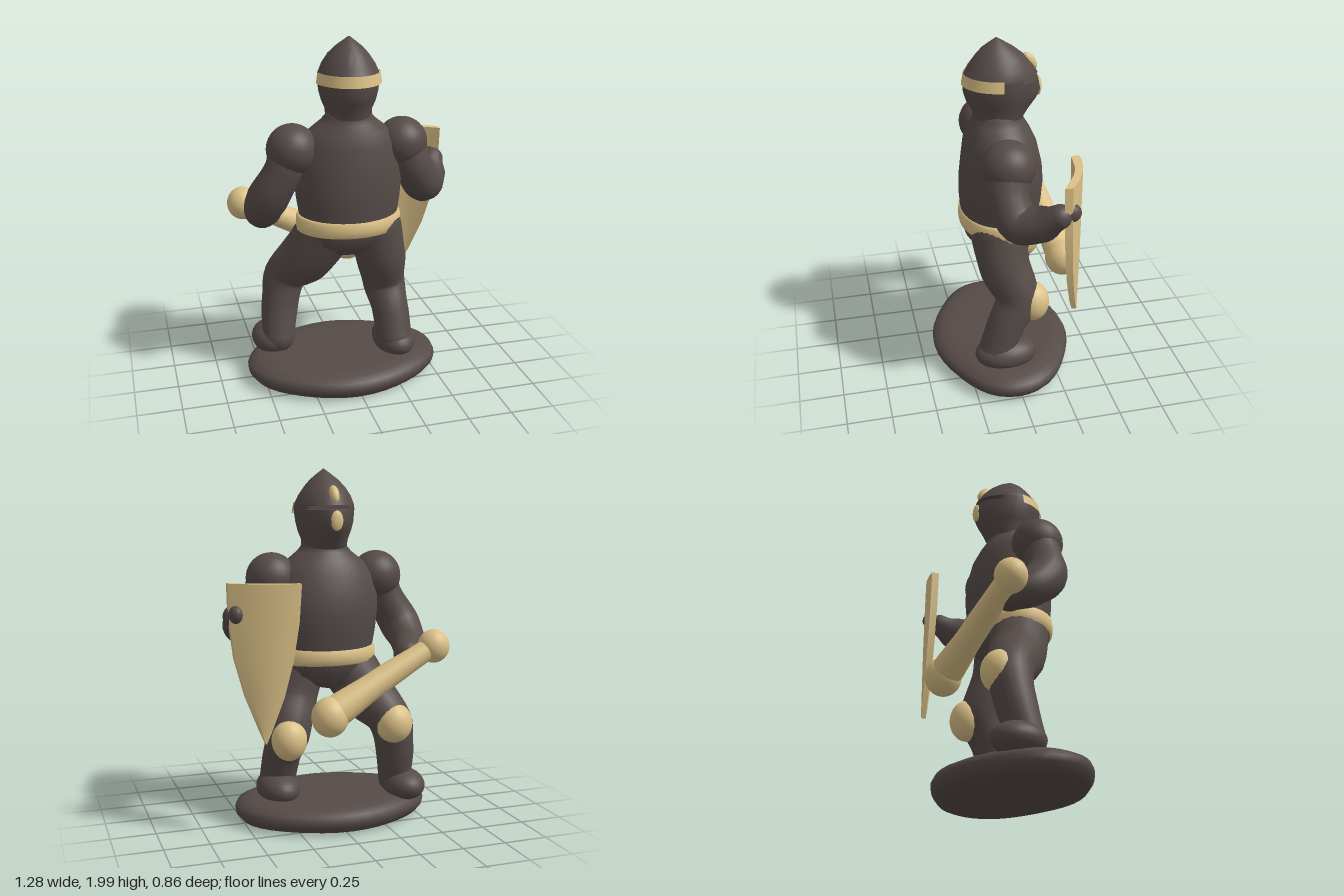
import * as THREE from 'three';
import { toCreasedNormals } from 'three/addons/utils/BufferGeometryUtils.js';

const dark = new THREE.MeshStandardMaterial({ color: 0x554b48 });
dark.name = 'darkBody';
const gold = new THREE.MeshStandardMaterial({ color: 0xdcc187, side: THREE.DoubleSide });
gold.name = 'paleGold';

// Skin stacked rings (bottom to top, each running +x to +z) and cap both ends
function loft(rings) {
  const n = rings[0].length, pos = [], idx = [];
  rings.forEach(r => r.forEach(p => pos.push(...p)));
  for (let i = 0; i < rings.length - 1; i++) {
    for (let j = 0; j < n; j++) {
      const a = i * n + j, b = i * n + (j + 1) % n, c = a + n, d = b + n;
      idx.push(a, c, b, b, c, d);
    }
  }
  [0, rings.length - 1].forEach((row, top) => {
    const centre = pos.length / 3;
    pos.push(...[0, 1, 2].map(k => rings[row].reduce((s, p) => s + p[k], 0) / n));
    for (let j = 0; j < n; j++) {
      const a = row * n + j, b = row * n + (j + 1) % n;
      idx.push(centre, ...(top ? [b, a] : [a, b]));
    }
  });
  const g = new THREE.BufferGeometry();
  g.setAttribute('position', new THREE.Float32BufferAttribute(pos, 3));
  g.setIndex(idx);
  g.computeVertexNormals();
  return g;
}

// Oval ring; prow narrows the front, zMin flattens it
function oval([y, cx, cz, rx, rz, prow = 0, zMin = -9], n = 40) {
  return Array.from({ length: n }, (_, j) => {
    const a = (j / n) * Math.PI * 2, s = Math.sin(a);
    return [cx + rx * Math.cos(a) * (1 - prow * Math.max(0, -s)), y, Math.max(zMin, cz + rz * s)];
  });
}

export function createModel() {
  const model = new THREE.Group();

  const add = (name, geometry, material = dark, parent = model) => {
    const mesh = new THREE.Mesh(geometry, material);
    mesh.name = name;
    parent.add(mesh);
    return mesh;
  };

  const ball = (name, [x, y, z], [rx, ry, rz], material, parent) => {
    const mesh = add(name, new THREE.SphereGeometry(1, 28, 20), material, parent);
    mesh.position.set(x, y, z);
    mesh.scale.set(rx, ry, rz);
    return mesh;
  };

  // Tapered round limb through [x, y, z, radius] points, with round ends
  const limb = (name, pts, material = dark) => {
    const group = new THREE.Group();
    group.name = name;
    model.add(group);
    const curve = new THREE.CatmullRomCurve3(pts.map(p => new THREE.Vector3(p[0], p[1], p[2])));
    const rows = 24, sides = 20;
    const g = new THREE.TubeGeometry(curve, rows, 1, sides);
    const p = g.attributes.position, v = new THREE.Vector3();
    for (let i = 0; i <= rows; i++) {
      const centre = curve.getPointAt(i / rows);
      const t = curve.getUtoTmapping(i / rows) * (pts.length - 1);
      const k = Math.min(Math.floor(t), pts.length - 2);
      const r = THREE.MathUtils.lerp(pts[k][3], pts[k + 1][3], THREE.MathUtils.smoothstep(t - k, 0, 1));
      for (let j = 0; j <= sides; j++) {
        const q = i * (sides + 1) + j;
        v.fromBufferAttribute(p, q).sub(centre).multiplyScalar(r).add(centre);
        p.setXYZ(q, v.x, v.y, v.z);
      }
    }
    add(name + 'Length', g, material, group);
    [pts[0], pts[pts.length - 1]].forEach(([x, y, z, r]) => ball(name + 'End', [x, y, z], [r, r, r], material, group));
  };

  // Rounded oval stand, a little pointed at its long ends
  add('base', loft([
    [0.01, 0.49, 0.33], [0.025, 0.53, 0.38], [0.06, 0.56, 0.405], [0.09, 0.565, 0.41],
    [0.12, 0.55, 0.395], [0.142, 0.5, 0.35], [0.152, 0.42, 0.29], [0.15, 0.2, 0.15],
  ].map(([y, rx, rz]) => oval([y, -0.025, 0.02, rx, rz]).map(([x, h, z]) => {
    const u = (x + 0.025) / rx;
    return [x, h, 0.02 + (z - 0.02) * (1 - 0.25 * u * u * (1 - u * u))];
  }))));

  // Trunk from hips to neck
  add('torso', loft([
    [0.775, 0, 0.02, 0.06, 0.08], [0.8, 0, 0.03, 0.15, 0.14], [0.86, 0.005, 0.035, 0.25, 0.19],
    [0.93, 0.01, 0.035, 0.285, 0.21], [1.0, 0.01, 0.03, 0.28, 0.215], [1.1, 0.01, 0.025, 0.295, 0.228],
    [1.2, 0.01, 0.02, 0.305, 0.23], [1.3, 0.01, 0.018, 0.305, 0.22], [1.42, 0.01, 0.025, 0.28, 0.198],
    [1.49, 0.01, 0.03, 0.225, 0.17], [1.54, 0.01, 0.035, 0.16, 0.145], [1.57, 0.01, 0.035, 0.13, 0.13],
    [1.62, 0.01, 0.03, 0.125, 0.13],
  ].map(r => oval(r))));

  // Helmet with a pointed crown and an eye slit cut into the front
  add('helmet', toCreasedNormals(loft([
    [1.55, 0.01, 0.035, 0.125, 0.13], [1.61, 0.01, 0.02, 0.13, 0.155, 0.1], [1.66, 0.01, 0.015, 0.15, 0.19, 0.2],
    [1.71, 0.01, 0.01, 0.163, 0.21, 0.25], [1.775, 0.01, 0.018, 0.171, 0.202, 0.2],
    [1.777, 0.01, 0.018, 0.171, 0.202, 0.2, -0.08], [1.799, 0.01, 0.018, 0.17, 0.2, 0.2, -0.08],
    [1.801, 0.01, 0.018, 0.17, 0.198, 0.2], [1.85, 0.01, 0.02, 0.147, 0.172, 0.1],
    [1.9, 0.01, 0.025, 0.113, 0.13], [1.94, 0.01, 0.033, 0.077, 0.088], [1.97, 0.01, 0.037, 0.04, 0.045],
    [1.998, 0.01, 0.04, 0.004, 0.004],
  ].map(r => oval(r))), 0.8));

  // Helmet trim
  const band = add('helmetBand', new THREE.CylinderGeometry(0.965, 1.02, 0.06, 40, 1, true, -1.48, 2.96), gold);
  band.position.set(0.01, 1.784, 0.018);
  band.scale.set(0.179, 1, 0.206);
  ball('browRidge', [0.01, 1.858, -0.14], [0.027, 0.055, 0.03], gold).rotation.x = 0.6;
  ball('visorRidge', [0.01, 1.717, -0.187], [0.035, 0.055, 0.018], gold);

  // Belt
  add('belt', loft([
    [0.92, 0.28, 0.205], [0.93, 0.298, 0.222], [0.965, 0.3, 0.226], [1.005, 0.298, 0.222], [1.02, 0.28, 0.205],
  ].map(([y, rx, rz]) => oval([y, 0.01, 0.033, rx, rz]))), gold);

  // Legs, feet and kneecaps
  limb('rightLeg', [[-0.11, 0.92, 0.03, 0.165], [-0.215, 0.74, -0.04, 0.158], [-0.325, 0.59, -0.14, 0.125],
    [-0.365, 0.42, -0.13, 0.11], [-0.39, 0.22, -0.08, 0.097]]);
  limb('leftLeg', [[0.15, 0.92, 0.06, 0.16], [0.2, 0.73, 0.04, 0.145], [0.243, 0.53, -0.025, 0.125],
    [0.265, 0.38, 0.04, 0.108], [0.275, 0.22, 0.1, 0.104]]);
  ball('rightFoot', [-0.42, 0.195, -0.14], [0.118, 0.09, 0.15], dark);
  ball('leftFoot', [0.285, 0.19, 0.05], [0.122, 0.095, 0.18], dark);
  ball('rightKneecap', [-0.33, 0.575, -0.195], [0.107, 0.118, 0.105], gold);
  ball('leftKneecap', [0.263, 0.505, -0.11], [0.1, 0.118, 0.096], gold);

  // Shoulders and arms
  [['right', -0.31], ['left', 0.315]].forEach(([side, x]) =>
    ball(side + 'Shoulder', [x, 1.4, 0.045], [0.142, 0.142, 0.145], dark));
  limb('rightArm', [[-0.315, 1.4, 0.045, 0.125], [-0.365, 1.28, 0.05, 0.105], [-0.448, 1.12, 0.015, 0.116],
    [-0.465, 1.02, -0.08, 0.1], [-0.415, 0.97, -0.185, 0.08]]);
  limb('leftArm', [[0.325, 1.38, 0.05, 0.125], [0.385, 1.25, 0.06, 0.108], [0.455, 1.145, 0.02, 0.114],
    [0.525, 1.16, -0.08, 0.098], [0.575, 1.22, -0.165, 0.065]]);
  ball('leftHand', [0.583, 1.238, -0.225], [0.04, 0.05, 0.05], dark);

  // Club with a knob at each end
  limb('clubShaft', [[-0.52, 1.005, -0.25, 0.06], [-0.2, 0.84, -0.285, 0.072], [0.08, 0.69, -0.325, 0.09]], gold);
  ball('clubPommel', [-0.548, 1.015, -0.245], [0.09, 0.095, 0.088], gold);
  ball('clubHead', [0.1, 0.675, -0.33], [0.102, 0.11, 0.102], gold);

  // Curved shield tapering to a point: y, left edge, right edge, tip blend
  const across = [1, 0.75, 0.5, 0.25, 0, -0.25, -0.5, -0.75, -1];
  add('shield', toCreasedNormals(loft([
    [0.55, 0.447, 0.453, 0], [0.62, 0.42, 0.48, 0.2], [0.8, 0.355, 0.545, 0.55], [1.0, 0.305, 0.595, 0.8],
    [1.2, 0.275, 0.618, 0.95], [1.4, 0.262, 0.622, 1],
  ].map(([y, x0, x1, k]) => {
    const face = (u, back) => [
      (x0 + x1) / 2 + u * (x1 - x0) / 2, y,
      -0.3 + k * (0.038 + 0.07 * u - 0.035 * (1 - u * u)) + back * (0.014 + 0.008 * k),
    ];
    return [...across.map(u => face(u, 1)), ...across.slice().reverse().map(u => face(u, -1))];
  })), 0.7), gold);

  return model;
}
